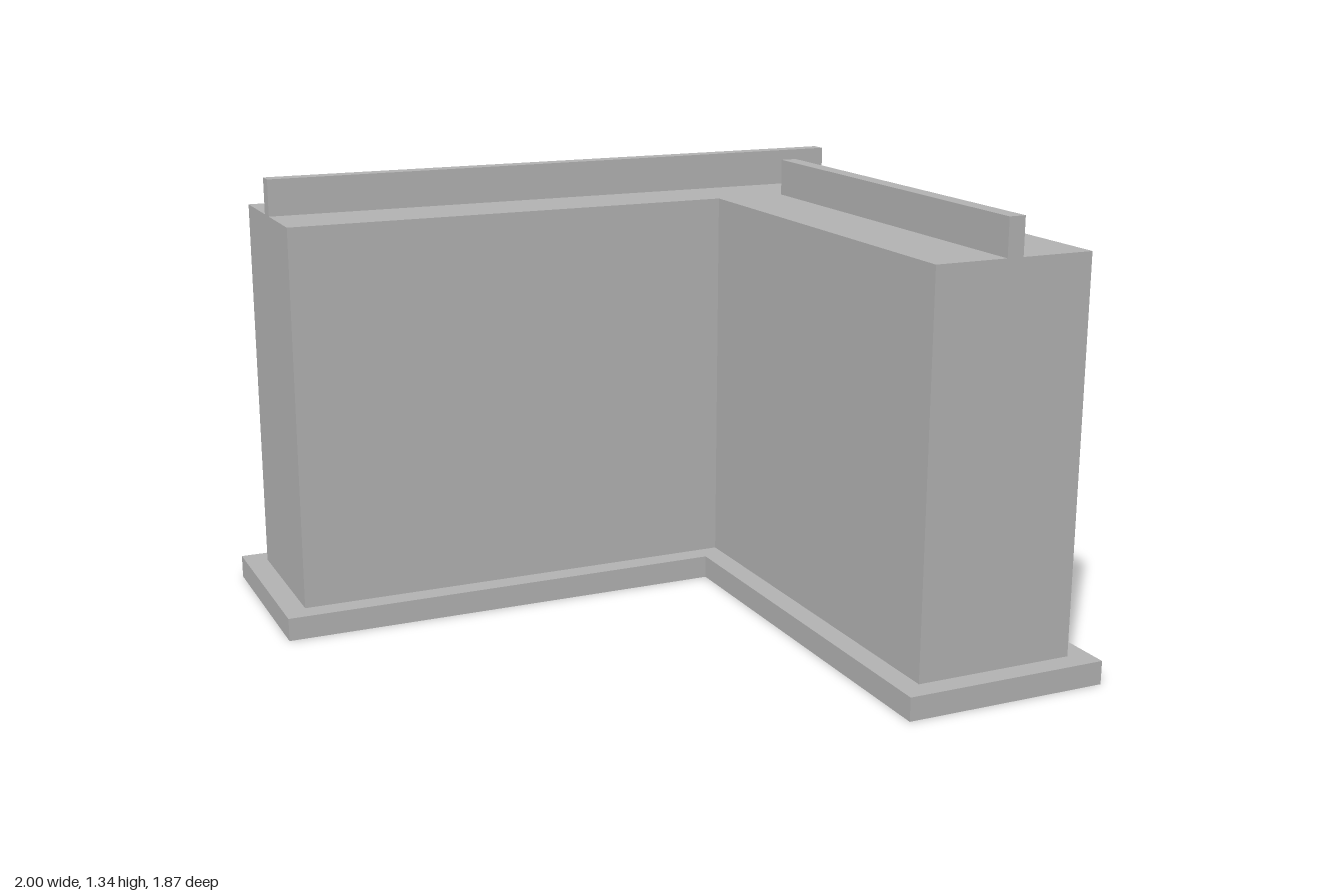
import * as THREE from 'three';

const BASE_TOP = 0.07, WALL_TOP = 1.225, RIDGE_TOP = 1.335;

// L-shaped slab, inset from the outer footprint, between two heights
function cornerSlab(name, inset, y0, y1, material) {
  const x = 1 - inset, z = 0.933 - inset;
  const innerX = 0.375 + inset, innerZ = -0.315 - inset;
  // shape y is -z, so that rotating it flat puts it the right way round
  const shape = new THREE.Shape([
    [-x, -innerZ], [innerX, -innerZ], [innerX, -z], [x, -z], [x, z], [-x, z],
  ].map(([px, py]) => new THREE.Vector2(px, py)));
  const geometry = new THREE.ExtrudeGeometry(shape, { depth: y1 - y0, bevelEnabled: false });
  geometry.rotateX(-Math.PI / 2).translate(0, y0, 0);
  const mesh = new THREE.Mesh(geometry, material);
  mesh.name = name;
  return mesh;
}

// Thin raised strip on top of the wall
function ridge(name, x0, x1, z0, z1, material) {
  const geometry = new THREE.BoxGeometry(x1 - x0, RIDGE_TOP - WALL_TOP, z1 - z0);
  const mesh = new THREE.Mesh(geometry, material);
  mesh.position.set((x0 + x1) / 2, (WALL_TOP + RIDGE_TOP) / 2, (z0 + z1) / 2);
  mesh.name = name;
  return mesh;
}

export function createModel() {
  const grey = new THREE.MeshStandardMaterial({ color: 0xb2b2b2 });
  grey.name = 'grey';

  const model = new THREE.Group();
  model.name = 'cornerWall';
  model.add(
    cornerSlab('basePlinth', 0, 0, BASE_TOP, grey),
    cornerSlab('wallBody', 0.068, BASE_TOP, WALL_TOP, grey),
    ridge('backRidge', -0.932, 0.932, -0.65, -0.6, grey),
    ridge('sideRidge', 0.662, 0.712, -0.38, 0.865, grey),
  );
  return model;
}
